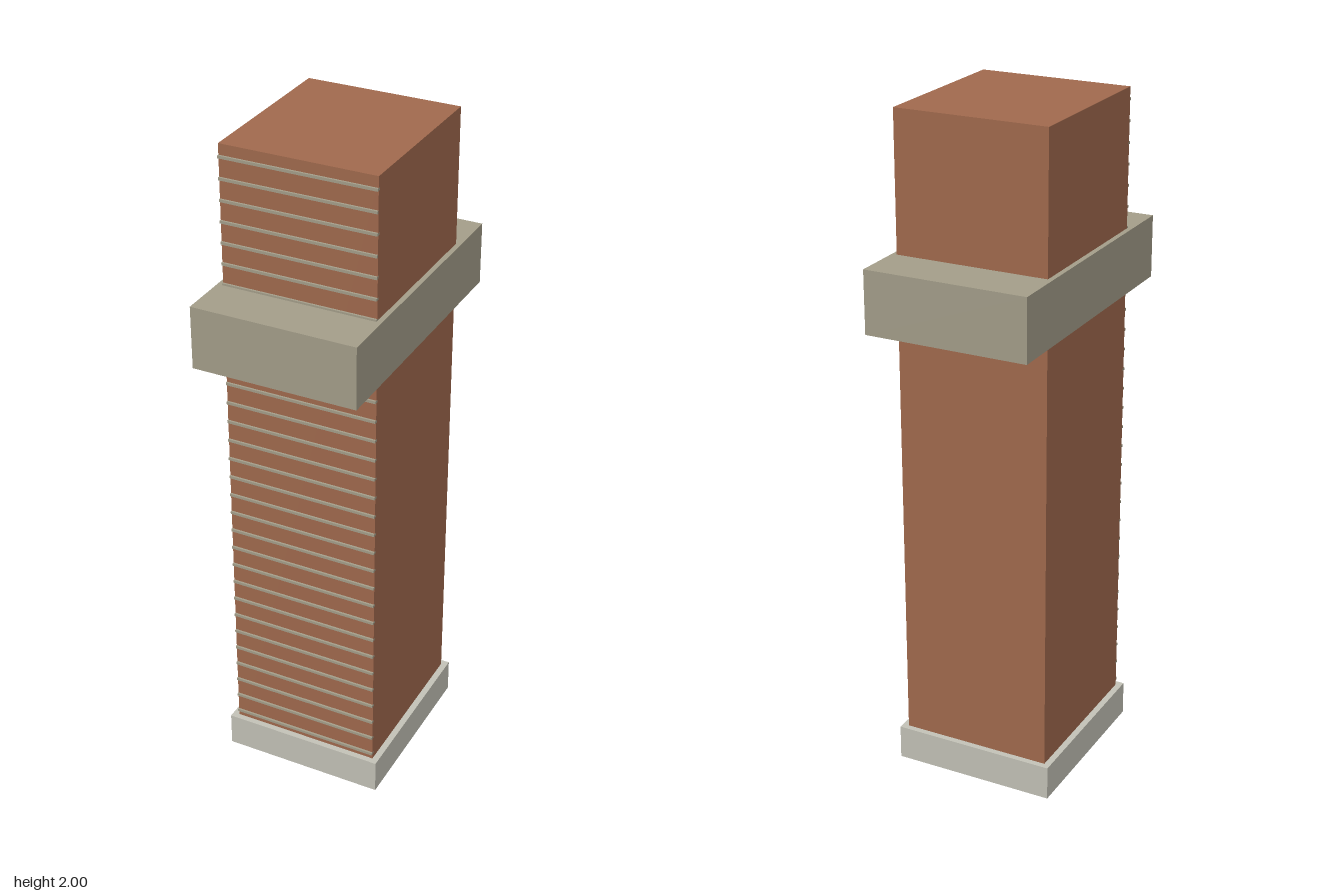
import * as THREE from 'three';

export function createModel() {
  const model = new THREE.Group();
  model.name = 'brickChimney';

  const material = (color) => new THREE.MeshStandardMaterial({ color });
  const brick = material(0xa0694d);
  const stone = material(0xa39d89);
  const concrete = material(0xc2c1b6);

  // Box given by its width, depth and lower and upper heights
  const slab = (name, w, d, y0, y1, mat, z = 0) => {
    const mesh = new THREE.Mesh(new THREE.BoxGeometry(w, y1 - y0, d), mat);
    mesh.position.set(0, (y0 + y1) / 2, z);
    mesh.name = name;
    model.add(mesh);
    return mesh;
  };

  const shaftWidth = 0.457, shaftDepth = 0.504;

  // Brick shaft, plinth and projecting collar
  slab('shaft', shaftWidth, shaftDepth, 0, 2, brick);
  slab('plinth', 0.495, 0.54, 0.001, 0.105, concrete);
  slab('collar', 0.487, 0.804, 1.41, 1.595, stone);

  // Thin mortar courses standing proud of the front face
  const pitch = 0.0613;
  for (let i = 0; i < 32; i++) {
    const y = 0.064 + i * pitch;
    slab('mortarCourse', shaftWidth, 0.012, y - 0.004, y + 0.004, stone, shaftDepth / 2);
  }

  // The whole stack stands turned about the vertical axis
  model.rotation.y = THREE.MathUtils.degToRad(-28);
  const root = new THREE.Group();
  root.name = 'chimney';
  root.add(model);
  return root;
}
